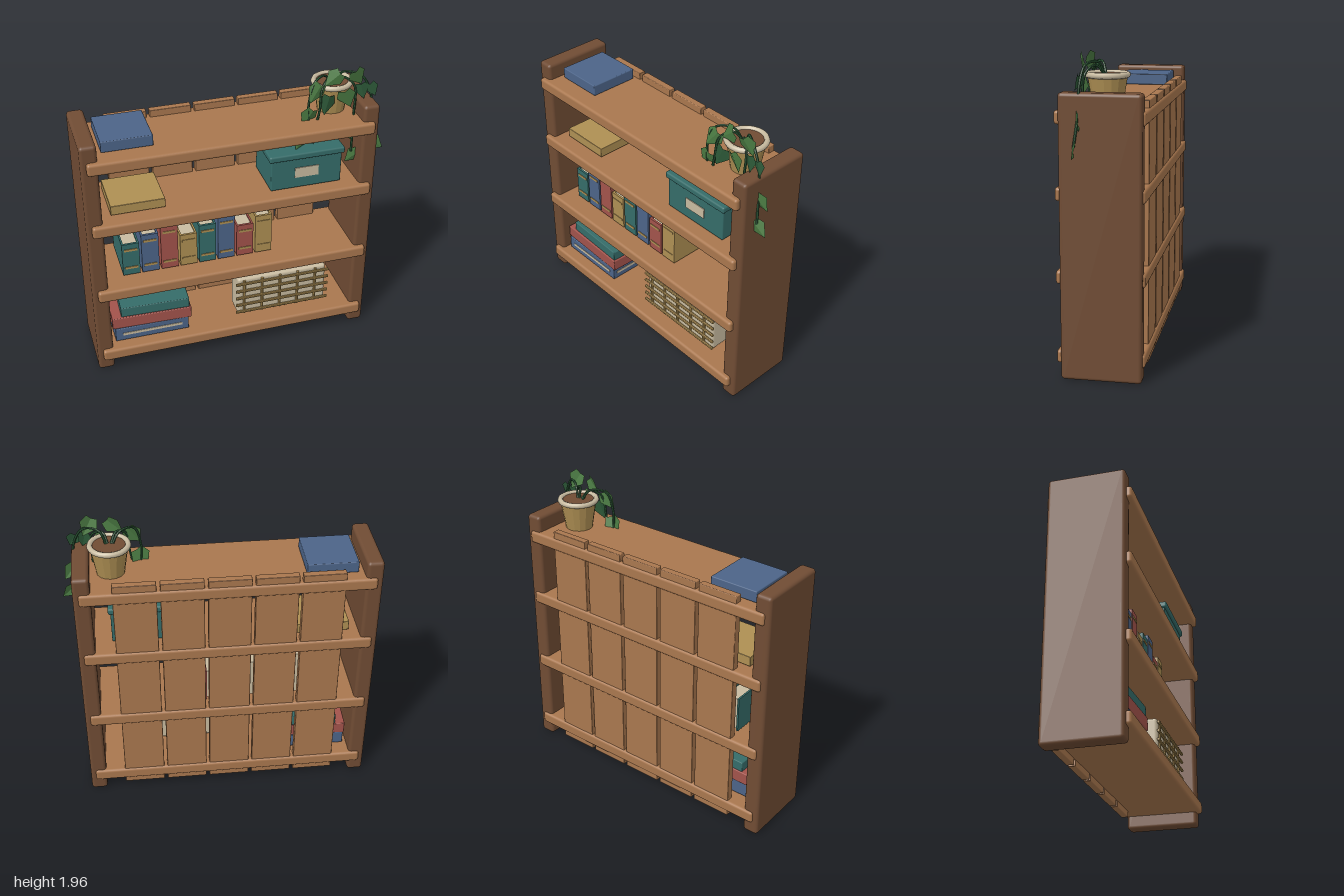
import * as THREE from 'three';
import { RoundedBoxGeometry } from 'three/addons/geometries/RoundedBoxGeometry.js';

const mat = (name, color, opts = {}) => {
  const m = new THREE.MeshStandardMaterial({ color, ...opts });
  m.name = name;
  return m;
};

export function createModel() {
  const root = new THREE.Group();
  root.name = 'bookshelf';
  const wood = mat('wood', 0xa9774e);
  const darkWood = mat('darkWood', 0x704c34);
  const teal = mat('teal', 0x356c69);
  const blue = mat('blue', 0x4c6488);
  const red = mat('red', 0xa2534b);
  const gold = mat('gold', 0xae8f53, { flatShading: true });
  const cream = mat('cream', 0xc8bba0);
  const leafGreen = mat('leafGreen', 0x4b7b43, { flatShading: true, side: THREE.DoubleSide });
  const stemGreen = mat('stemGreen', 0x2b5636, { flatShading: true, side: THREE.DoubleSide });

  const add = (name, geo, material, parent = root) => {
    const m = new THREE.Mesh(geo, material);
    m.name = name;
    parent.add(m);
    return m;
  };
  // Box given by its extents; r > 0 rounds the edges
  const box = (name, material, [x0, x1], [y0, y1], [z0, z1], r = 0, parent = root) => {
    const s = [x1 - x0, y1 - y0, z1 - z0];
    const geo = r ? new RoundedBoxGeometry(...s, 2, r) : new THREE.BoxGeometry(...s);
    const m = add(name, geo, material, parent);
    m.position.set((x0 + x1) / 2, (y0 + y1) / 2, (z0 + z1) / 2);
    return m;
  };
  const group = (name) => {
    const g = new THREE.Group();
    g.name = name;
    root.add(g);
    return g;
  };

  // Frame: side panels, shelves and back boards
  box('rightPanel', darkWood, [-1, -0.893], [0, 1.73], [-0.255, 0.238], 0.022);
  box('leftPanel', darkWood, [0.797, 0.904], [0, 1.73], [-0.255, 0.238], 0.022);
  for (const y of [0.09, 0.586, 1.09, 1.542])
    box('shelf', wood, [-0.965, 0.87], [y, y + 0.082], [-0.27, 0.27], 0.018);
  for (let i = 0; i < 5; i++) {
    const x = -0.77 + i * 0.292;
    box('backBoard', wood, [x, x + 0.27], [0.05, 1.67], [-0.258, -0.21], 0.005);
  }

  // Row of standing books: covers, spine, pages and spine bands
  const colors = [teal, blue, red, gold];
  const heights = [0.24, 0.29, 0.332];
  [0, 1, 2, 0, 1, 2, 0, 1].forEach((h, i) => {
    const g = group('standingBook');
    const c = colors[i % 4], x = -0.777 + i * 0.128, w = 0.114;
    const y0 = 0.69, y1 = y0 + heights[h];
    box('cover', c, [x, x + 0.012], [y0, y1], [-0.19, 0.15], 0, g);
    box('cover', c, [x + w - 0.012, x + w], [y0, y1], [-0.19, 0.15], 0, g);
    box('spine', c, [x + 0.012, x + w - 0.012], [y0, y1], [0.135, 0.15], 0, g);
    box('pages', cream, [x + 0.012, x + w - 0.012], [y0 + 0.01, y1 - 0.01], [-0.18, 0.135], 0, g);
    for (const y of [y0 + 0.047, y1 - 0.055])
      box('spineBand', gold, [x + 0.014, x + w - 0.014], [y, y + 0.016], [0.149, 0.154], 0, g);
  });

  // Lying books
  box('topBook', blue, [-0.858, -0.535], [1.627, 1.7], [-0.185, 0.148], 0.006);
  box('middleBook', gold, [-0.83, -0.48], [1.178, 1.243], [-0.17, 0.16], 0.004);
  box('stackBookTop', teal, [-0.81, -0.345], [0.36, 0.432], [-0.15, 0.18], 0.006).rotation.y = -0.04;
  box('stackBookMiddle', red, [-0.875, -0.335], [0.278, 0.362], [-0.16, 0.19], 0.006).rotation.y = -0.03;
  box('stackBookBottom', blue, [-0.865, -0.36], [0.178, 0.277], [-0.16, 0.19], 0.006);
  box('bottomBookPages', cream, [-0.815, -0.405], [0.22, 0.24], [0.188, 0.193]);
  box('bottomBookPages', cream, [-0.363, -0.357], [0.22, 0.24], [-0.13, 0.16]);

  // Storage box with lid and label
  box('storageBox', teal, [0.21, 0.688], [1.178, 1.41], [-0.14, 0.18], 0.008);
  box('storageLid', teal, [0.195, 0.703], [1.393, 1.437], [-0.155, 0.195], 0.012);
  box('boxLabel', cream, [0.37, 0.53], [1.256, 1.328], [0.178, 0.185]);

  // Basket with a woven lattice on the front
  box('basket', cream, [-0.005, 0.63], [0.19, 0.495], [0.01, 0.17], 0.02);
  const rod = (name, length, x, y, z, turn) => {
    const m = add(name, new THREE.CylinderGeometry(0.01, 0.01, length, 8), gold);
    m.position.set(x, y, z);
    m.rotation.z = turn;
  };
  for (let i = 0; i < 5; i++) {
    rod('basketRail', 0.665, 0.312, 0.225 + i * 0.059, 0.182, Math.PI / 2);
    rod('basketUpright', 0.275, 0.04 + i * 0.128, 0.345, 0.174, 0);
  }

  // Plant pot, rim and soil
  const px = 0.667, pz = -0.01;
  add('pot', new THREE.CylinderGeometry(0.12, 0.088, 0.19, 16), gold).position.set(px, 1.717, pz);
  const rim = add('potRim', new THREE.TorusGeometry(0.118, 0.018, 8, 28), cream);
  rim.rotation.x = Math.PI / 2;
  rim.position.set(px, 1.815, pz);
  add('soil', new THREE.CylinderGeometry(0.108, 0.108, 0.01, 24), darkWood).position.set(px, 1.813, pz);

  // Trailing stems
  const stems = [
    [[0.65, 1.8, 0], [0.6, 1.88, 0.03], [0.51, 1.87, 0.09], [0.47, 1.74, 0.11], [0.47, 1.58, 0.11], [0.43, 1.47, 0.12]],
    [[0.66, 1.8, 0], [0.62, 1.87, 0.05], [0.56, 1.83, 0.1], [0.54, 1.68, 0.12], [0.5, 1.48, 0.11]],
    [[0.68, 1.8, 0], [0.72, 1.89, 0.03], [0.82, 1.88, 0.09], [0.88, 1.78, 0.11], [0.9, 1.58, 0.12], [0.92, 1.42, 0.14]],
    [[0.67, 1.8, 0], [0.7, 1.87, 0.05], [0.77, 1.83, 0.1], [0.775, 1.62, 0.12], [0.77, 1.36, 0.13]],
  ];
  for (const pts of stems) {
    const path = new THREE.CatmullRomCurve3(pts.map((p) => new THREE.Vector3(...p)));
    add('stem', new THREE.TubeGeometry(path, 28, 0.008, 6), stemGreen);
  }

  // Leaf: two folded halves meeting along the midrib
  const leafGeo = new THREE.BufferGeometry();
  leafGeo.setAttribute('position', new THREE.Float32BufferAttribute([
    0, 0.42, 0.08, -0.3, 0.5, 0, -0.48, 0.08, -0.08, 0, -0.58, 0, 0.48, 0.08, -0.08, 0.3, 0.5, 0,
  ], 3));
  leafGeo.setIndex([0, 1, 2, 0, 2, 3, 0, 3, 4, 0, 4, 5]);
  leafGeo.computeVertexNormals();
  // x, y, z, roll, size, dark
  const leaves = [
    [0.632, 1.885, 0.1, -0.9, 0.125, 0], [0.79, 1.885, 0.11, 0.5, 0.125, 0],
    [0.515, 1.81, 0.11, -0.6, 0.13, 0], [0.717, 1.755, 0.13, 0.4, 0.13, 0],
    [0.588, 1.725, 0.12, -0.3, 0.125, 1], [0.47, 1.645, 0.11, -0.5, 0.13, 0],
    [0.82, 1.79, 0.12, 0.2, 0.1, 1], [0.915, 1.565, 0.115, 0.7, 0.12, 0],
    [0.935, 1.4, 0.14, 0.9, 0.115, 0], [0.785, 1.325, 0.13, -0.8, 0.12, 0],
    [0.425, 1.49, 0.12, -0.6, 0.12, 0], [0.505, 1.5, 0.11, 0.2, 0.11, 1],
    [0.89, 1.79, 0.12, 0.4, 0.09, 1], [0.77, 1.48, 0.12, 0.2, 0.09, 0],
  ];
  leaves.forEach(([x, y, z, roll, size, dark], i) => {
    const m = add('leaf', leafGeo, dark ? stemGreen : leafGreen);
    m.position.set(x, y, z);
    m.rotation.set(i % 2 ? 0.12 : -0.15, i % 3 ? 0.15 : -0.2, roll);
    m.scale.setScalar(size);
  });
  return root;
}
